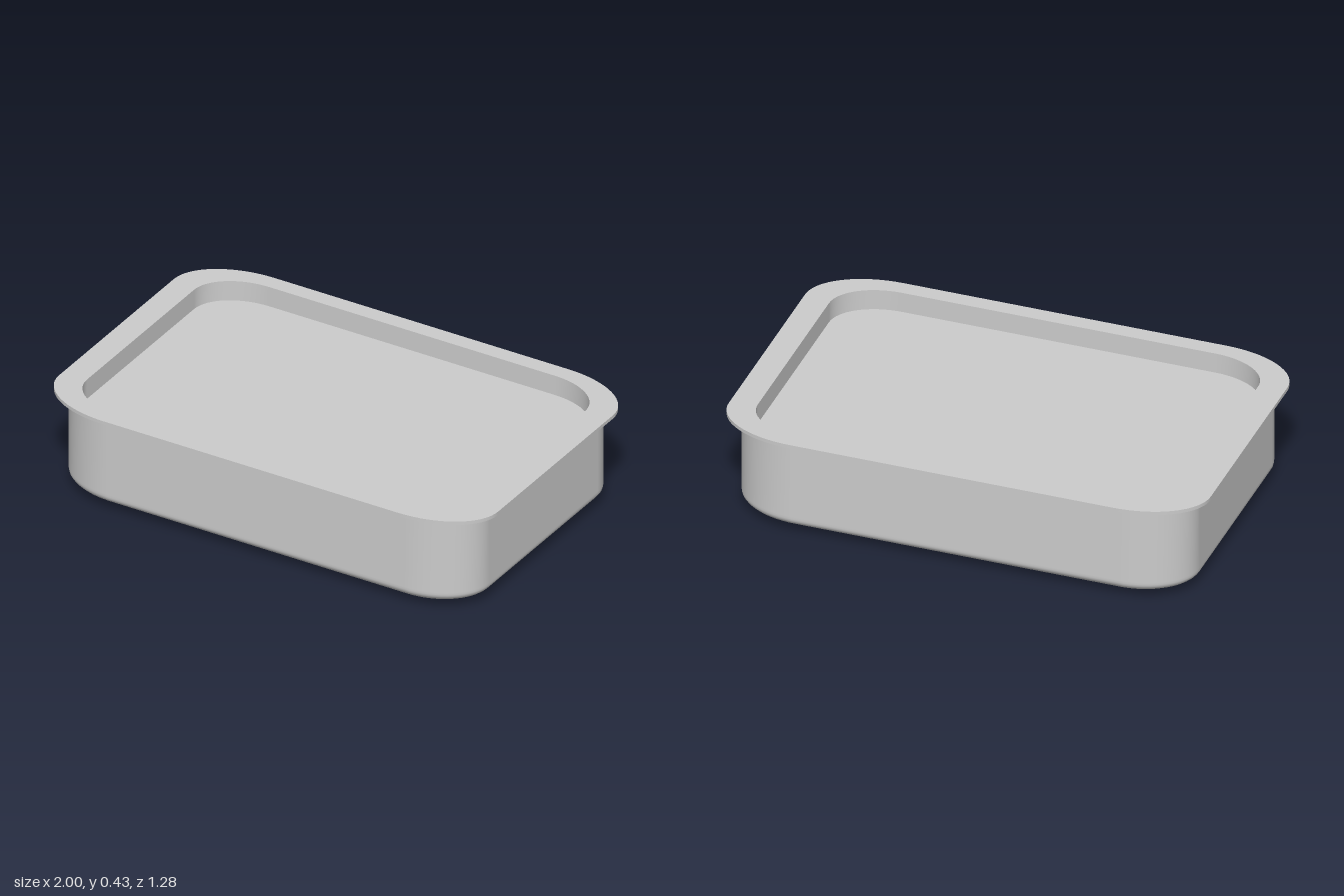
import * as THREE from 'three';

const CORNER = 16; // segments per rounded corner

// Rounded rectangle in the xz plane: half-size of the straight core plus elliptical corner radii.
function section(y, coreX, coreZ, radX, radZ) {
  const points = [];
  const signs = [[1, 1], [-1, 1], [-1, -1], [1, -1]];
  signs.forEach(([sx, sz], q) => {
    for (let i = 0; i <= CORNER; i++) {
      const a = (q + i / CORNER) * Math.PI / 2;
      points.push([sx * coreX + radX * Math.cos(a), y, sz * coreZ + radZ * Math.sin(a)]);
    }
  });
  return points;
}

// Smooth skin through a list of closed sections.
function loft(sections) {
  const n = sections[0].length;
  const index = [];
  for (let r = 0; r < sections.length - 1; r++) {
    for (let i = 0; i < n; i++) {
      const a = r * n + i, b = r * n + (i + 1) % n;
      index.push(a, a + n, b, b, a + n, b + n);
    }
  }
  const geometry = new THREE.BufferGeometry();
  geometry.setAttribute('position', new THREE.Float32BufferAttribute(sections.flat(2), 3));
  geometry.setIndex(index);
  geometry.computeVertexNormals();
  return geometry;
}

export function createModel() {
  const group = new THREE.Group();
  const material = new THREE.MeshStandardMaterial({ color: 0xcccccc, side: THREE.DoubleSide });
  const add = (name, parent, sections) => {
    const mesh = new THREE.Mesh(loft(sections), material);
    mesh.name = name;
    parent.add(mesh);
  };

  const rimTop = 0.43, rimBottom = 0.415, floorY = 0.343, bend = 0.07;
  const wall = (y, k = 1) => section(y, 0.675, 0.405, 0.27 * k, 0.2 * k);
  const flange = y => section(y, 0.67, 0.43, 0.33, 0.21);
  const opening = y => section(y, 0.65, 0.4, 0.24, 0.17);
  const centre = y => section(y, 0, 0, 0, 0);

  // Outer body: flat base, rounded lower edge, straight walls
  const body = [centre(0)];
  for (let i = 0; i <= 12; i++) {
    const a = i / 12 * Math.PI / 2;
    body.push(wall(bend * (1 - Math.cos(a)), Math.sin(a)));
  }
  body.push(wall(bend + 0.01), wall(rimBottom));
  add('body', group, body);

  // Flat flange around the top, each face separate to keep its edges sharp
  const rim = new THREE.Group();
  rim.name = 'rim';
  add('rimUnderside', rim, [wall(rimBottom), flange(rimBottom)]);
  add('rimEdge', rim, [flange(rimBottom), flange(rimTop)]);
  add('rimTop', rim, [flange(rimTop), opening(rimTop)]);
  group.add(rim);

  // Shallow recess
  add('innerWall', group, [opening(rimTop), opening(floorY)]);
  add('innerFloor', group, [opening(floorY), centre(floorY)]);

  return group;
}
